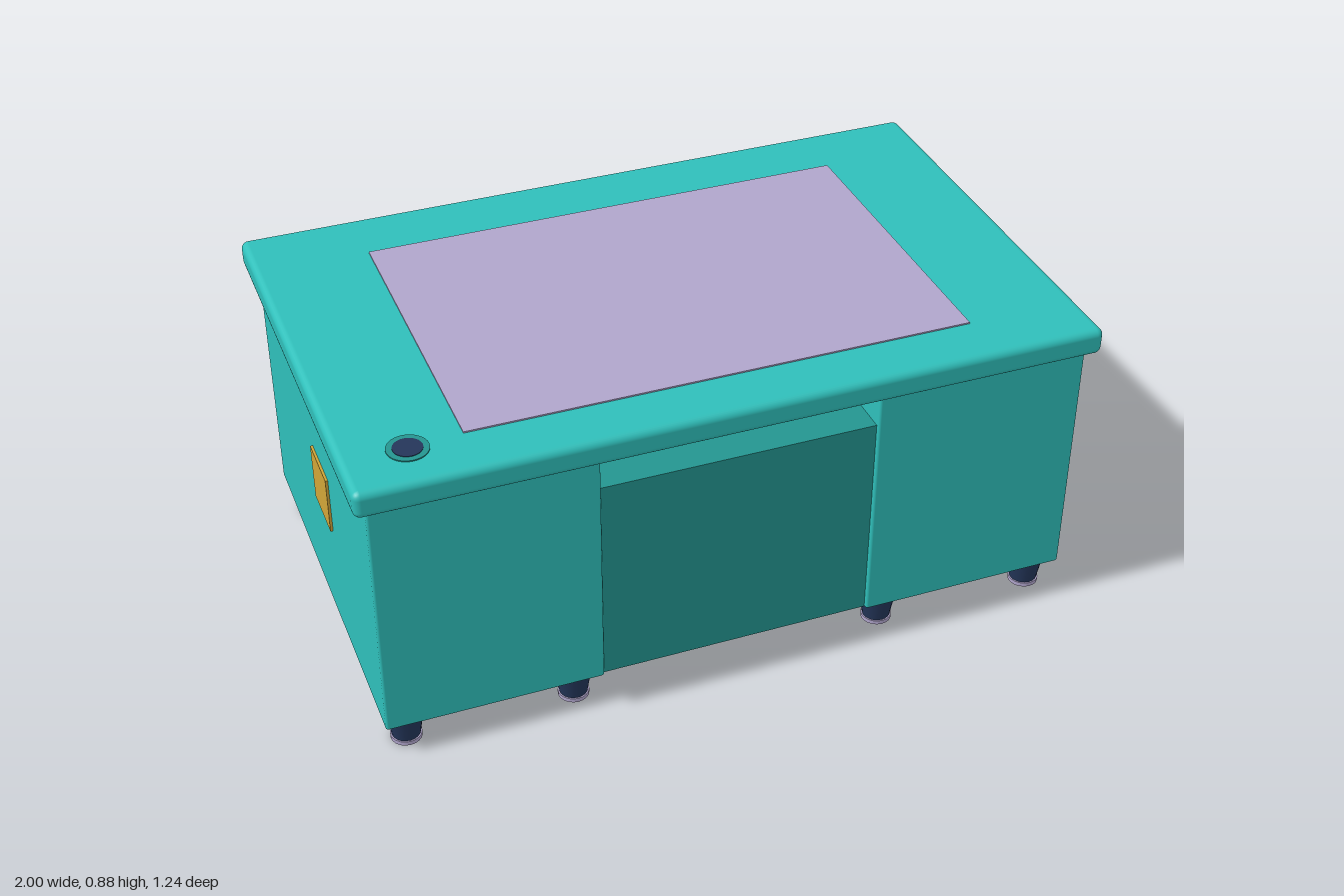
import * as THREE from 'three';
import { RoundedBoxGeometry } from 'three/addons/geometries/RoundedBoxGeometry.js';

function material(name, color) {
  const m = new THREE.MeshStandardMaterial({ color });
  m.name = name;
  return m;
}

export function createModel() {
  const teal = material('teal', 0x2fbfba);
  const darkTeal = material('dark teal', 0x249590);
  const lilac = material('lilac', 0xb0a5cc);
  const navy = material('navy', 0x24365a);
  const pewter = material('pewter', 0xcdc3b4);
  const gold = material('gold', 0xd0a538);

  const desk = new THREE.Group();
  desk.name = 'desk';

  function add(name, geometry, mat, x, y, z, parent = desk) {
    const mesh = new THREE.Mesh(geometry, mat);
    mesh.name = name;
    mesh.position.set(x, y, z);
    parent.add(mesh);
    return mesh;
  }
  // Box given by its limits, rounded when r > 0
  function block(name, mat, [x0, x1], [y0, y1], [z0, z1], r = 0, parent = desk) {
    const size = [x1 - x0, y1 - y0, z1 - z0];
    const geo = r > 0 ? new RoundedBoxGeometry(...size, 3, r) : new THREE.BoxGeometry(...size);
    return add(name, geo, mat, (x0 + x1) / 2, (y0 + y1) / 2, (z0 + z1) / 2, parent);
  }

  // Top, writing mat and cable grommet
  block('tabletop', teal, [-1, 1], [0.798, 0.873], [-0.622, 0.622], 0.02);
  block('deskMat', lilac, [-0.685, 0.685], [0.87, 0.877], [-0.428, 0.47]);
  add('grommetRing', new THREE.CylinderGeometry(0.054, 0.054, 0.008, 32), darkTeal, -0.828, 0.872, 0.483);
  add('grommetHole', new THREE.CylinderGeometry(0.038, 0.038, 0.008, 32), navy, -0.828, 0.8735, 0.483);

  // Bar handle on two posts, on the drawer side
  function handle(x, y, width, r) {
    const g = new THREE.Group();
    g.name = 'handle';
    g.position.set(x, y, -0.588);
    desk.add(g);
    const bar = add('handleBar', new THREE.CapsuleGeometry(r, width - 2 * r, 4, 12), pewter, 0, 0, -0.02, g);
    bar.rotation.z = Math.PI / 2;
    for (const s of [-1, 1]) {
      const post = add('handlePost', new THREE.CylinderGeometry(r * 0.65, r * 0.65, 0.022, 10), pewter,
        s * width * 0.4, 0, -0.009, g);
      post.rotation.x = Math.PI / 2;
    }
  }

  function drawer(x, bottom, top, labelled) {
    block('drawerFront', darkTeal, [x - 0.277, x + 0.277], [bottom, top], [-0.589, -0.56], 0.009);
    handle(x, top - 0.065, 0.25, 0.011);
    if (labelled) {
      block('labelPlate', pewter, [x - 0.048, x + 0.048], [top - 0.15, top - 0.1], [-0.594, -0.586]);
    }
  }

  // Pedestals: two drawers on the left, three on the right
  const pedestalX = 0.672;
  const drawers = { 1: [[0.525, 0.787], [0.115, 0.51]], '-1': [[0.578, 0.787], [0.352, 0.565], [0.115, 0.34]] };
  for (const side of [1, -1]) {
    const cx = side * pedestalX;
    block('pedestal', teal, [cx - 0.295, cx + 0.295], [0.092, 0.8], [-0.572, 0.592], 0.007);
    const list = drawers[side];
    list.forEach(([bottom, top], i) => drawer(cx, bottom, top, i === list.length - 1));

    // Tapered legs with a pale foot cap
    for (const x of [0.443, 0.902]) {
      for (const z of [0.525, -0.505]) {
        const leg = new THREE.Group();
        leg.name = 'leg';
        leg.position.set(side * x, 0, z);
        desk.add(leg);
        add('legCone', new THREE.CylinderGeometry(0.052, 0.038, 0.084, 20), navy, 0, 0.054, 0, leg);
        add('footCap', new THREE.CylinderGeometry(0.042, 0.042, 0.012, 20), lilac, 0, 0.006, 0, leg);
      }
    }
  }

  // Body between the pedestals and the pencil drawer above it
  block('kneeholeBody', darkTeal, [-0.377, 0.377], [0.094, 0.7], [-0.425, 0.58]);
  block('pencilDrawer', darkTeal, [-0.36, 0.36], [0.71, 0.793], [-0.585, -0.1], 0.008);
  handle(0, 0.75, 0.155, 0.008);

  // Plaque on the right side
  block('sidePlaque', gold, [-0.974, -0.966], [0.41, 0.575], [-0.02, 0.145]);

  return desk;
}
